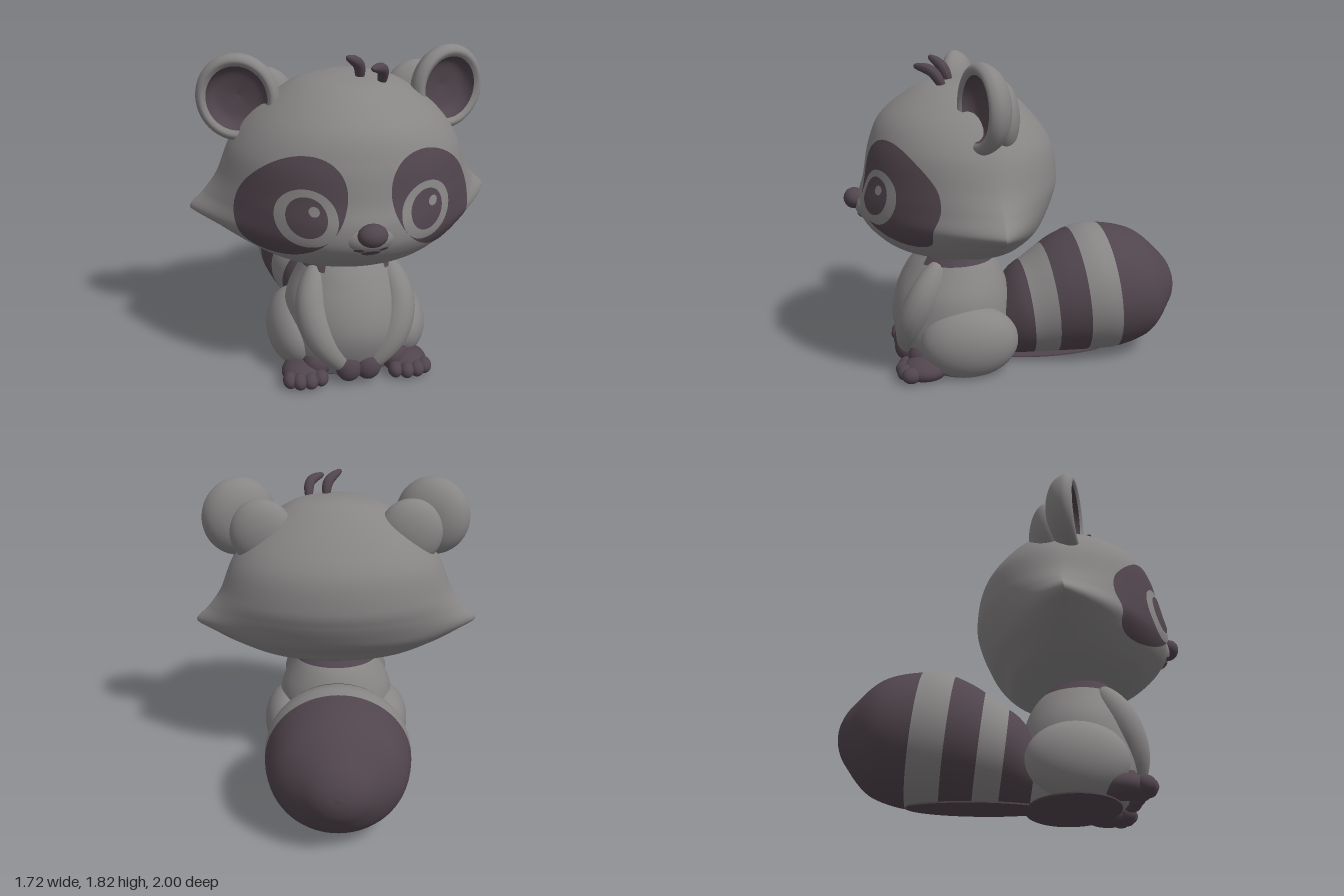
import * as THREE from 'three';

const fur = new THREE.MeshStandardMaterial({ color: 0x888585 });
fur.name = 'grey fur';
const dark = new THREE.MeshStandardMaterial({ color: 0x51454d });
dark.name = 'dark purple fur';

const V3 = (x, y, z) => new THREE.Vector3(x, y, z);

function mesh(name, geo, mat, parent) {
  const m = new THREE.Mesh(geo, mat);
  m.name = name;
  parent.add(m);
  return m;
}

// Smooth surface from rows x cols of points; point(v, u) with v, u in 0..1
function loft(rows, cols, point, closed = true) {
  const pos = [], idx = [], n = closed ? cols : cols + 1;
  for (let j = 0; j <= rows; j++)
    for (let i = 0; i < n; i++) pos.push(...point(j / rows, i / cols));
  for (let j = 0; j < rows; j++)
    for (let i = 0; i < cols; i++) {
      const a = j * n + i, b = j * n + (i + 1) % n, c = a + n, d = b + n;
      idx.push(a, b, c, b, d, c);
    }
  const g = new THREE.BufferGeometry();
  g.setAttribute('position', new THREE.Float32BufferAttribute(pos, 3));
  g.setIndex(idx);
  g.computeVertexNormals();
  return g;
}

// Ellipsoid, flattened where it meets the ground
function blob(name, c, r, mat, parent) {
  const g = new THREE.SphereGeometry(1, 32, 24).scale(...r).translate(...c);
  const p = g.attributes.position;
  for (let i = 0; i < p.count; i++) p.setY(i, Math.max(p.getY(i), 0.008));
  return mesh(name, g, mat, parent);
}

// Tube with rounded ends and a changing radius
function taperTube(points, r0, r1) {
  const n = 32, m = 16, curve = new THREE.CatmullRomCurve3(points.map(p => V3(...p)));
  const g = new THREE.TubeGeometry(curve, n, 1, m), p = g.attributes.position, v = V3();
  for (let i = 0; i <= n; i++) {
    const t = i / n, c = curve.getPointAt(t);
    const r = (r0 + (r1 - r0) * t) * Math.pow(Math.max(0, Math.sin(Math.PI * t)), 0.4);
    for (let k = 0; k <= m; k++) {
      const q = i * (m + 1) + k;
      v.fromBufferAttribute(p, q).sub(c).multiplyScalar(r).add(c);
      p.setXYZ(q, v.x, v.y, v.z);
    }
  }
  g.computeVertexNormals();
  return g;
}

// Sections from keys [y, halfWidth, frontZ, backZ, middleZ, roundness]
function sections(keys) {
  const a = new THREE.CatmullRomCurve3(keys.map(k => V3(k[1], k[0], k[2])), false, 'catmullrom');
  const b = new THREE.CatmullRomCurve3(keys.map(k => V3(k[3], k[4], k[5])), false, 'catmullrom');
  return t => {
    const p = a.getPoint(t), q = b.getPoint(t);
    return { w: Math.max(0, p.x), y: p.y, f: p.z, b: q.x, c: q.y, q: q.z };
  };
}
function sectionPoint(s, angle, grow = 0) {
  const sn = Math.sin(angle), depth = sn > 0 ? s.f - s.c + grow : s.c - s.b + grow;
  return [(s.w + grow) * Math.cos(angle), s.y,
    s.c + Math.sign(sn) * depth * Math.pow(Math.abs(sn), 2 * s.q)];
}

const head = sections([
  [1.70, 0, 0.27, 0.27, 0.27, 0.5], [1.69, 0.12, 0.39, 0.17, 0.27, 0.5],
  [1.645, 0.29, 0.575, 0.075, 0.27, 0.5], [1.5, 0.495, 0.77, -0.08, 0.25, 0.5],
  [1.335, 0.625, 0.848, -0.195, 0.24, 0.5], [1.145, 0.705, 0.885, -0.225, 0.22, 0.58],
  [1.04, 0.78, 0.915, -0.205, 0.2, 0.75], [0.947, 0.86, 0.915, -0.165, 0.2, 0.95],
  [0.88, 0.755, 0.885, -0.125, 0.2, 0.75], [0.817, 0.635, 0.83, -0.065, 0.22, 0.6],
  [0.75, 0.49, 0.74, 0, 0.27, 0.52], [0.70, 0.30, 0.59, 0.16, 0.32, 0.5],
  [0.683, 0.13, 0.45, 0.27, 0.35, 0.5], [0.68, 0, 0.36, 0.36, 0.36, 0.5],
]);
const body = sections([
  [0.72, 0.22, 0.55, 0.22, 0.39, 0.5], [0.6, 0.28, 0.64, 0.11, 0.38, 0.5],
  [0.45, 0.35, 0.715, 0.05, 0.38, 0.5], [0.3, 0.37, 0.745, 0.03, 0.38, 0.5],
  [0.15, 0.38, 0.71, 0.05, 0.38, 0.5], [0.04, 0.35, 0.64, 0.09, 0.38, 0.5],
  [0.01, 0.3, 0.58, 0.14, 0.38, 0.5], [0.01, 0, 0.38, 0.38, 0.38, 0.5],
]);
const tail = new THREE.CatmullRomCurve3([ // x: half width, y: half height, z: position
  V3(0.22, 0.2, 0.1), V3(0.29, 0.26, 0), V3(0.325, 0.295, -0.1), V3(0.39, 0.36, -0.3),
  V3(0.415, 0.39, -0.52), V3(0.36, 0.33, -0.77), V3(0.19, 0.175, -0.93),
  V3(0.09, 0.08, -0.985), V3(0, 0, -1)], false, 'catmullrom');

// Front depth of the face, muzzle included
const muzzle = { c: [0, 0.975, 0.83], r: [0.16, 0.1, 0.11] };
function faceZ(x, y) {
  let lo = 0, hi = 1;
  for (let i = 0; i < 30; i++) {
    const m = (lo + hi) / 2;
    if (head(m).y > y) lo = m; else hi = m;
  }
  const s = head(lo), u = Math.min(1, Math.abs(x) / s.w);
  const z = s.c + (s.f - s.c) * Math.pow(1 - u * u, s.q);
  const k = 1 - (x / muzzle.r[0]) ** 2 - ((y - muzzle.c[1]) / muzzle.r[1]) ** 2;
  return k > 0 ? Math.max(z, muzzle.c[2] + muzzle.r[2] * Math.sqrt(k)) : z;
}

// Thin oval marking that follows the face; skew leans it
function facePatch(name, cx, cy, rx, ry, lift, mat, parent, side = 1, skew = 0) {
  mesh(name, loft(14, 56, (v, u) => {
    const t = side * u * 2 * Math.PI, r = 1 - v;
    const x = side * (cx + r * rx * Math.cos(t)), y = cy + r * ry * Math.sin(t - skew);
    return [x, y, faceZ(x, y) + lift];
  }), mat, parent);
}

function buildEar(side, parent) {
  const ear = new THREE.Group();
  ear.name = side > 0 ? 'leftEar' : 'rightEar';
  ear.position.set(side * 0.575, 1.575, 0.27);
  ear.rotation.y = side * 0.3;
  const cup = pts => new THREE.LatheGeometry(
    new THREE.SplineCurve(pts.map(p => new THREE.Vector2(...p))).getPoints(24), 48)
    .rotateX(Math.PI / 2).scale(1, 1.05, 1);
  mesh('earShell', cup([[0, -0.12], [0.11, -0.105], [0.19, -0.06], [0.225, 0.005],
    [0.215, 0.045], [0.19, 0.06], [0.165, 0.045]]), fur, ear);
  mesh('innerEar', cup([[0.165, 0.045], [0.15, 0.01], [0.11, -0.02], [0, -0.04]]), dark, ear);
  parent.add(ear);
  blob('earBase', [side * 0.44, 1.51, 0.16], [0.19, 0.2, 0.1], fur, parent);
}

function buildTail(parent) {
  // Stripe edges lie at these z positions, alternating dark and grey
  const edges = [0.1, -0.065, -0.205, -0.38, -0.565, -1];
  const tAt = z => {
    let lo = 0, hi = 1;
    for (let i = 0; i < 30; i++) {
      const m = (lo + hi) / 2;
      if (tail.getPoint(m).z > z) lo = m; else hi = m;
    }
    return lo;
  };
  for (let k = 0; k < 5; k++) {
    const t0 = tAt(edges[k]), t1 = k === 4 ? 1 : tAt(edges[k + 1]);
    mesh('tailStripe' + (k + 1), loft(k === 4 ? 30 : 10, 64, (v, u) => {
      const p = tail.getPoint(t0 + (t1 - t0) * v), a = u * 2 * Math.PI;
      const cy = p.y + 0.005 + 0.415 * Math.max(0, (-p.z - 0.52) / 0.48) ** 2.2;
      const mid = p.z < -0.52 ? Math.min(0.42, 0.395 - (p.z + 0.52) * 0.05) : cy;
      const dy = -p.y * Math.sin(a);
      return [p.x * Math.cos(a), Math.max(0.008, mid + dy), p.z + 0.11 * dy];
    }), k % 2 ? fur : dark, parent);
  }
}

export function createModel() {
  const model = new THREE.Group();
  model.name = 'raccoon';
  const TAU = 2 * Math.PI;

  // Head and face
  const headGroup = new THREE.Group();
  headGroup.name = 'head';
  model.add(headGroup);
  mesh('skull', loft(130, 112, (v, u) => sectionPoint(head(v), u * TAU)), fur, headGroup);
  blob('muzzle', muzzle.c, muzzle.r, fur, headGroup);
  blob('nose', [0, 1.01, 0.94], [0.077, 0.06, 0.06], dark, headGroup);
  facePatch('mouth', 0, 0.9, 0.05, 0.017, 0.006, dark, headGroup);
  for (const s of [1, -1]) {
    facePatch('mouthCorner', 0.065, 0.922, 0.025, 0.01, 0.006, dark, headGroup, s);
    facePatch('eyeMask', 0.378, 1.11, 0.267, 0.275, 0.005, dark, headGroup, s, 0.33);
    facePatch('eyeRing', 0.312, 1.077, 0.15, 0.15, 0.01, fur, headGroup, s);
    facePatch('pupil', 0.312, 1.085, 0.098, 0.105, 0.015, dark, headGroup, s);
    facePatch('eyeGlint', 0.312 + s * 0.035, 1.122, 0.026, 0.026, 0.02, fur, headGroup, s);
    buildEar(s, headGroup);
  }
  mesh('hairTuft1', taperTube([[0.06, 1.65, 0.38], [0.045, 1.75, 0.42], [-0.035, 1.81, 0.49]],
    0.033, 0.028), dark, headGroup);
  mesh('hairTuft2', taperTube([[0.165, 1.63, 0.42], [0.155, 1.735, 0.49], [0.075, 1.765, 0.585]],
    0.033, 0.028), dark, headGroup);

  // Body with a collar open at the chest
  mesh('torso', loft(60, 72, (v, u) => sectionPoint(body(v), u * TAU)), fur, model);
  mesh('collar', loft(8, 60, (v, u) =>
    sectionPoint(body(v * 0.1), (0.36 + u * 0.78) * TAU, 0.007), false), dark, model);

  // Limbs
  for (const s of [1, -1]) {
    blob('thigh', [s * 0.3, 0.2, 0.32], [0.167, 0.215, 0.285], fur, model);
    mesh('arm', taperTube([[s * 0.2, 0.66, 0.47], [s * 0.245, 0.45, 0.58],
      [s * 0.2, 0.28, 0.645], [s * 0.05, 0.07, 0.67]], 0.105, 0.085), fur, model);
    blob('hand', [s * 0.055, 0.1, 0.675], [0.075, 0.085, 0.065], dark, model);
    blob('foot', [s * 0.295, 0.05, 0.58], [0.125, 0.075, 0.13], dark, model);
    blob('ankle', [s * 0.22, 0.1, 0.58], [0.085, 0.085, 0.09], dark, model);
    for (const [x, z] of [[0.215, 0.675], [0.275, 0.695], [0.335, 0.69], [0.385, 0.665]])
      blob('toe', [s * x, 0.05, z], [0.042, 0.047, 0.052], dark, model);
  }

  buildTail(model);

  // Dark underside
  const under = (name, z, rx, rz) => mesh(name,
    new THREE.CylinderGeometry(1, 1, 0.009, 48).scale(rx, 1, rz).translate(0, 0.0045, z), dark, model);
  under('bellyUnderside', 0.33, 0.36, 0.27);
  under('tailUnderside', -0.2, 0.15, 0.4);
  return model;
}
